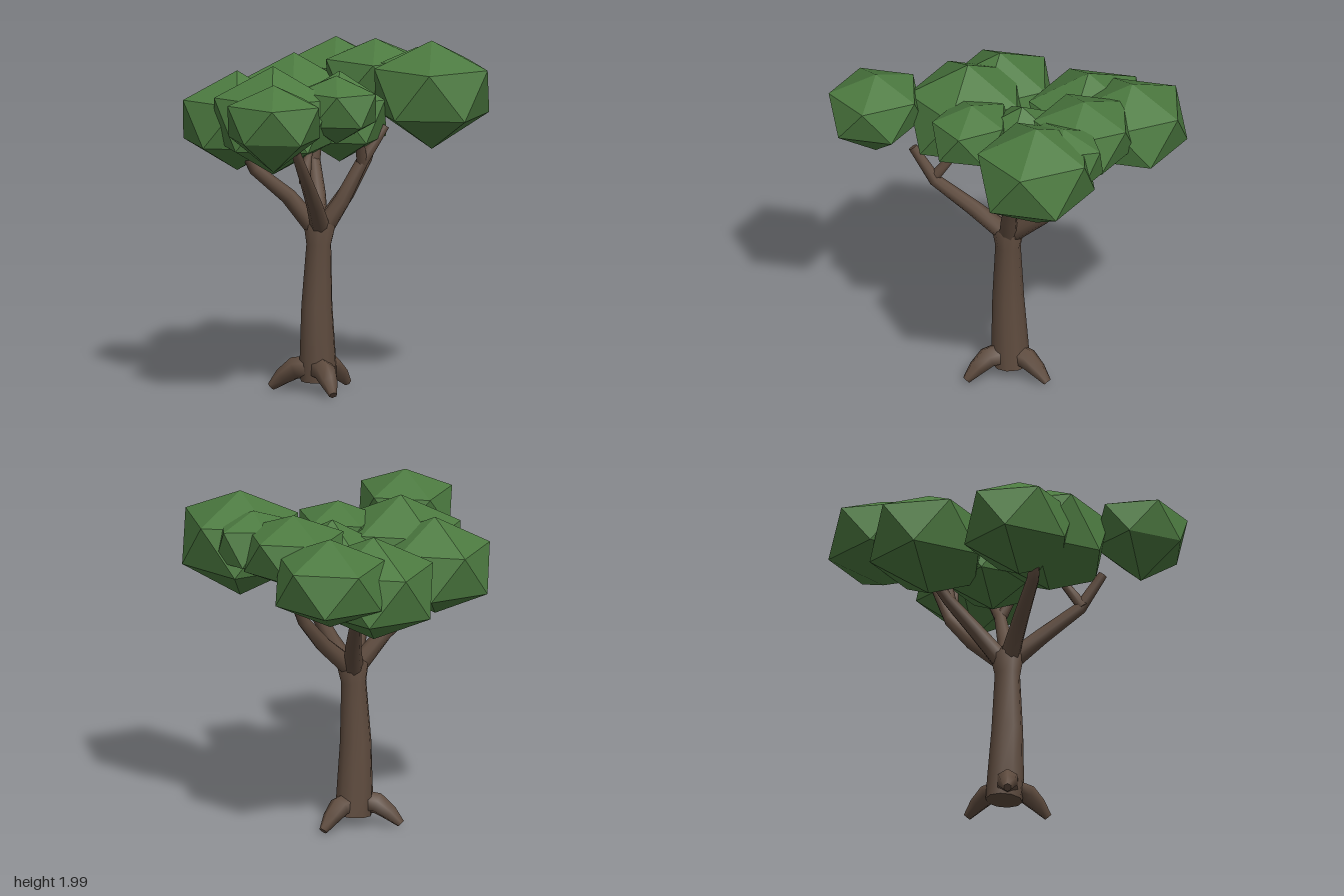
import * as THREE from 'three';

const bark = new THREE.MeshStandardMaterial({ color: 0x5e4b3e });
bark.name = 'bark brown';
const leaf = new THREE.MeshStandardMaterial({ color: 0x4c7a40 });
leaf.name = 'leaf green';

// Smooth limb through points [x, y, z], closed at both ends; radiusAt gives the radius at each point
function limb(points, radiusAt, sides) {
  const pts = points.map((p) => new THREE.Vector3(...p));
  const pos = [], idx = [], n = pts.length;
  pts.forEach((p, i) => {
    const dir = pts[Math.min(i + 1, n - 1)].clone().sub(pts[Math.max(i - 1, 0)]).normalize();
    const turn = new THREE.Quaternion().setFromUnitVectors(new THREE.Vector3(0, 1, 0), dir);
    const r = radiusAt(i, i / (n - 1));
    for (let k = 0; k < sides; k++) {
      const a = (k / sides) * Math.PI * 2;
      const v = new THREE.Vector3(Math.cos(a) * r, 0, Math.sin(a) * r).applyQuaternion(turn).add(p);
      pos.push(v.x, v.y, v.z);
    }
  });
  for (let i = 0; i < n - 1; i++) {
    for (let k = 0; k < sides; k++) {
      const a = i * sides + k, b = i * sides + (k + 1) % sides;
      idx.push(a, a + sides, b, b, a + sides, b + sides);
    }
  }
  // End caps use their own corners so the rims stay sharp
  for (const [ring, end] of [[0, false], [n - 1, true]]) {
    const start = pos.length / 3;
    pos.push(...pos.slice(ring * sides * 3, (ring + 1) * sides * 3));
    for (let k = 1; k < sides - 1; k++) {
      if (end) idx.push(start, start + k + 1, start + k);
      else idx.push(start, start + k, start + k + 1);
    }
  }
  const geo = new THREE.BufferGeometry();
  geo.setAttribute('position', new THREE.Float32BufferAttribute(pos, 3));
  geo.setIndex(idx);
  geo.computeVertexNormals();
  return geo;
}

// Twenty-sided ball with two staggered rings between a top and a bottom corner
function clump(rx, rz, top, upper, lower, bottom) {
  const ring = Array.from({ length: 10 }, (_, k) => {
    const a = (k * Math.PI) / 5;
    return [Math.cos(a) * rx, k % 2 ? lower : upper, Math.sin(a) * rz];
  });
  const pos = [];
  for (let k = 0; k < 10; k += 2) {
    const a = ring[k], b = ring[k + 1], c = ring[(k + 2) % 10], d = ring[(k + 3) % 10];
    pos.push([0, top, 0], c, a, a, c, b, b, c, d, [0, bottom, 0], b, d);
  }
  const geo = new THREE.BufferGeometry();
  geo.setAttribute('position', new THREE.Float32BufferAttribute(pos.flat(), 3));
  geo.computeVertexNormals();
  return geo;
}

export function createModel() {
  const tree = new THREE.Group();
  tree.name = 'tree';
  const add = (name, geo, mat) => {
    const mesh = new THREE.Mesh(geo, mat);
    mesh.name = name;
    tree.add(mesh);
    return mesh;
  };

  // Trunk, slightly leaning, flaring where the branches leave
  const trunkRadii = [0.105, 0.105, 0.09, 0.072, 0.093, 0.06];
  add('trunk', limb([
    [0.05, 0.07, -0.02], [0.04, 0.2, -0.02], [0.03, 0.5, -0.018],
    [0.035, 0.85, -0.008], [0.04, 0.96, -0.005], [0.04, 1.01, 0],
  ], (i) => trunkRadii[i], 10), bark);

  // Three roots spread evenly around the base
  for (let i = 0; i < 3; i++) {
    const a = (i * Math.PI * 2) / 3;
    const at = (d, y) => [0.03 + Math.cos(a) * d, y, -0.015 + Math.sin(a) * d];
    add('root', limb([at(0.05, 0.14), at(0.13, 0.135), at(0.2, 0.085), at(0.265, 0.024)],
      (_, t) => 0.068 - 0.044 * t * t, 6), bark);
  }

  // Main branches, then the shorter forks
  const branches = [
    [[0.03, 0.94, 0.01], [-0.13, 1.1, 0.1], [-0.32, 1.27, 0.2], [-0.45, 1.46, 0.23]],
    [[0.02, 0.94, -0.02], [-0.11, 1.13, -0.11], [-0.26, 1.29, -0.23], [-0.31, 1.42, -0.28]],
    [[0.05, 0.93, 0.01], [0.11, 1.1, 0.1], [0.19, 1.32, 0.18], [0.31, 1.52, 0.25]],
    [[0.06, 0.94, -0.03], [0.17, 1.11, -0.13], [0.28, 1.28, -0.25], [0.34, 1.4, -0.34]],
    [[0.06, 0.94, 0], [0.27, 1.12, 0.005], [0.42, 1.29, 0.015], [0.53, 1.53, 0.03]],
  ];
  for (const b of branches) add('branch', limb(b, (_, t) => 0.056 - 0.03 * t, 8), bark);
  const forks = [
    [[-0.34, 1.27, 0.2], [-0.23, 1.44, 0.14]],
    [[0.19, 1.31, 0.18], [0.12, 1.47, 0.22]],
    [[0.27, 1.26, -0.24], [0.3, 1.42, -0.23]],
    [[0.41, 1.27, 0.015], [0.42, 1.48, 0.06]],
  ];
  for (const f of forks) add('fork', limb(f, (_, t) => 0.034 - 0.011 * t, 7), bark);

  // Leaf clumps: x, z, ring radii, then heights of top, upper ring, lower ring, bottom
  const clumps = [
    [-0.68, 0.26, 0.26, 0.28, 1.88, 1.77, 1.57, 1.38],
    [-0.25, -0.37, 0.3, 0.335, 1.84, 1.68, 1.43, 1.27],
    [0.63, -0.38, 0.305, 0.325, 1.92, 1.78, 1.54, 1.4],
    [-0.28, -0.08, 0.33, 0.36, 1.9, 1.73, 1.45, 1.28],
    [0.31, -0.42, 0.325, 0.36, 1.865, 1.7, 1.43, 1.26],
    [0.54, -0.015, 0.28, 0.295, 1.96, 1.85, 1.64, 1.53],
    [-0.07, 0.21, 0.21, 0.25, 1.85, 1.76, 1.58, 1.46],
    [0.16, 0.04, 0.265, 0.28, 1.83, 1.68, 1.45, 1.31],
    [0.505, 0.43, 0.325, 0.345, 2, 1.85, 1.58, 1.38],
    [0.58, 0.26, 0.245, 0.175, 1.935, 1.86, 1.66, 1.58],
  ];
  for (const [x, z, ...shape] of clumps) add('leafClump', clump(...shape), leaf).position.set(x, 0, z);
  return tree;
}
